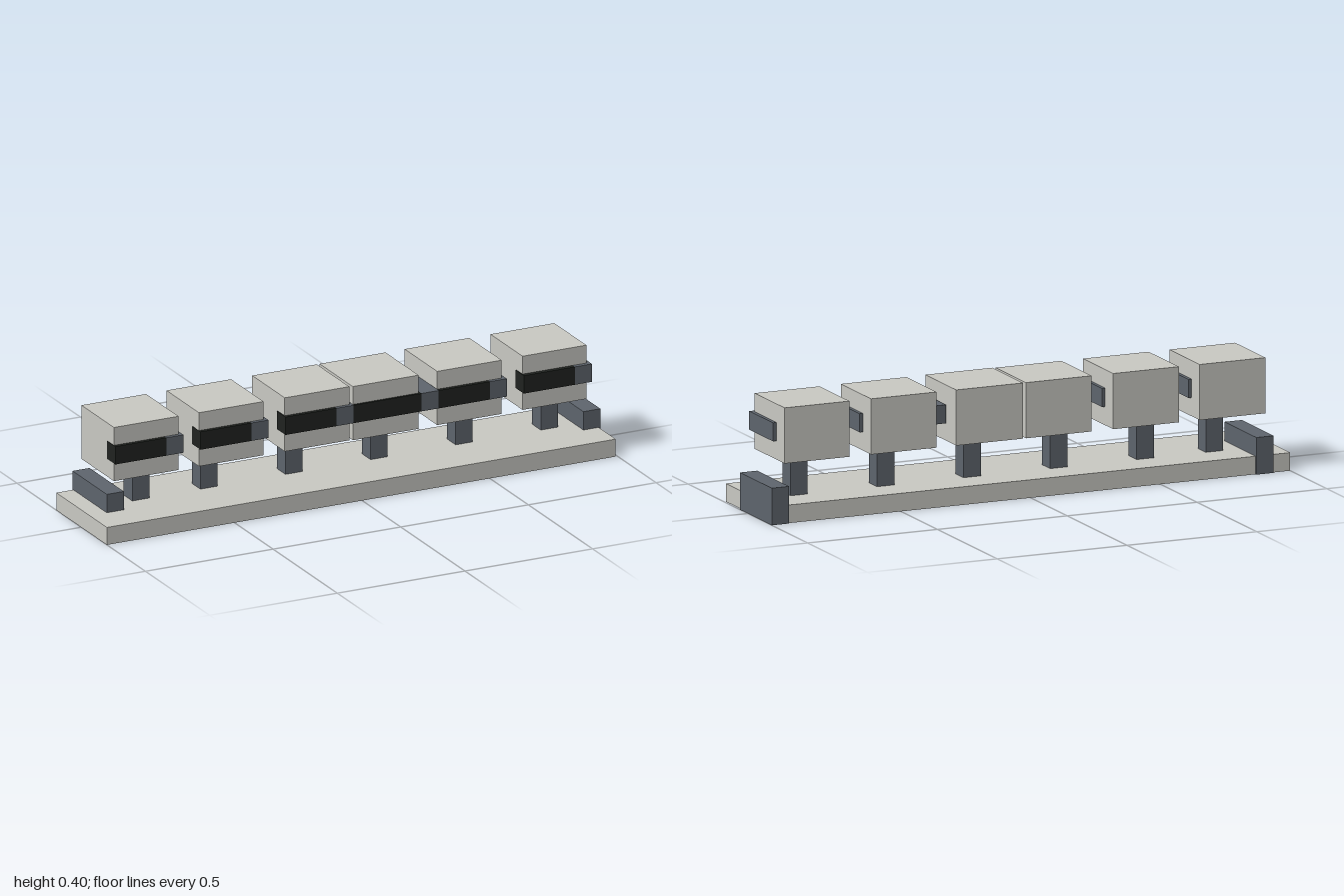
import * as THREE from 'three';

export function createModel() {
  const model = new THREE.Group();
  const mat = (name, color) => {
    const m = new THREE.MeshStandardMaterial({ color });
    m.name = name;
    return m;
  };
  const pale = mat('pale grey', 0xc7c7c1);
  const slate = mat('slate grey', 0x5d646c);
  const black = mat('black', 0x1f221f);

  // Box given by its lower and upper corners
  const box = (parent, name, material, [x0, y0, z0], [x1, y1, z1]) => {
    const mesh = new THREE.Mesh(new THREE.BoxGeometry(x1 - x0, y1 - y0, z1 - z0), material);
    mesh.position.set((x0 + x1) / 2, (y0 + y1) / 2, (z0 + z1) / 2);
    mesh.name = name;
    parent.add(mesh);
  };

  const u = 1 / 15; // grid unit shared by all parts

  // Base slab
  box(model, 'base', pale, [-1, 0, -0.194], [0.993, 0.065, 0.2]);

  // Rear blocks near both ends of the base
  for (const x of [-14 * u, 14 * u]) {
    box(model, 'endBlock', slate, [x, 0, -0.2], [x + u, 2 * u, u]);
  }

  // Heads on posts: grid start, cube start and size, post start, visor length
  const heads = [
    { start: -14, cube: -0.932, size: 0.253, post: -12, visor: 3 },
    { start: -9, cube: -0.599, size: 0.253, post: -8, visor: 3 },
    { start: -4, cube: -0.263, size: 0.253, post: -3, visor: 3 },
    { start: 0, cube: 0.001, size: 0.258, post: 2, visor: 4 },
    { start: 5, cube: 0.334, size: 0.253, post: 7, visor: 3 },
    { start: 10, cube: 0.67, size: 0.25, post: 12, visor: 3 },
  ];
  for (const { start, cube, size, post, visor } of heads) {
    const head = new THREE.Group();
    head.name = 'head';
    model.add(head);
    const x = start * u;
    const end = x + visor * u;
    box(head, 'post', slate, [post * u, 0.065, -u], [post * u + u, 0.2, 0]);
    box(head, 'cube', pale, [cube, 0.2, -2 * u], [cube + size, 0.4, size - 2 * u]);
    box(head, 'visor', black, [x, 4 * u, u], [end, 5 * u, 2 * u]);
    // Side bar wrapping back from the end of the visor
    box(head, 'sideBar', slate, [end, 4 * u, -u], [end + u, 5 * u, 2 * u]);
  }
  return model;
}
